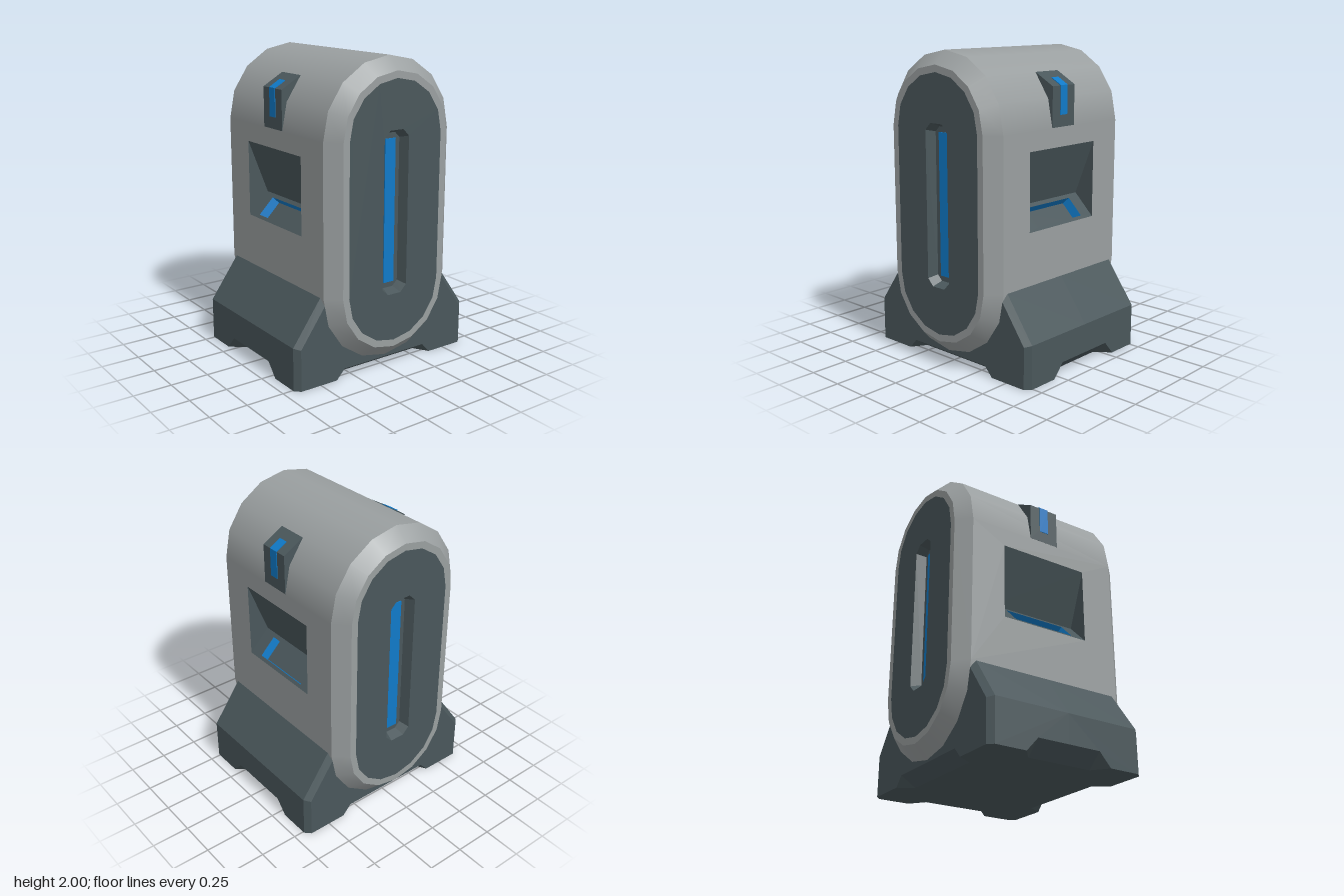
import * as THREE from 'three';

const grey = new THREE.MeshStandardMaterial({ color: 0x9a9fa0 });
grey.name = 'shellGrey';
const dark = new THREE.MeshStandardMaterial({ color: 0x4a575b, side: THREE.DoubleSide });
dark.name = 'darkSlate';
const blue = new THREE.MeshStandardMaterial({ color: 0x107ac8, side: THREE.DoubleSide });
blue.name = 'glowBlue';

const V = (x, y, z) => new THREE.Vector3(x, y, z);

function mesh(name, geometry, material, parent) {
  const m = new THREE.Mesh(geometry, material);
  m.name = name;
  parent.add(m);
  return m;
}

// Flat polygons, each given as [corners, point it faces]
function facesGeometry(faces) {
  const pos = [];
  for (const [pts, eye] of faces) {
    const n = V(0, 0, 0);
    pts.forEach((p, i) => n.add(p.clone().cross(pts[(i + 1) % pts.length])));
    n.normalize();
    const loop = n.dot(eye.clone().sub(pts[0])) < 0 ? [...pts].reverse() : pts;
    if (loop !== pts) n.negate();
    const u = loop[1].clone().sub(loop[0]).normalize();
    const v = n.clone().cross(u);
    const flat = loop.map(p => new THREE.Vector2(p.dot(u), p.dot(v)));
    for (const t of THREE.ShapeUtils.triangulateShape(flat, []))
      for (const i of t) pos.push(...loop[i].toArray());
  }
  const g = new THREE.BufferGeometry();
  g.setAttribute('position', new THREE.Float32BufferAttribute(pos, 3));
  g.computeVertexNormals();
  return g;
}

// Quads joining two closed loops
const between = (a, b, eye) => a.map((p, i) => {
  const j = (i + 1) % a.length;
  return [[p, a[j], b[j], b[i]], eye];
});

// Stadium outline: two 8-sided half circles joined by straight sides
const LOW = 0.56, HIGH = 1.52, R = 0.48, Z = 0.545, ZF = 0.63;
const angles = [];
for (let i = 0; i <= 8; i++) angles.push([i * Math.PI / 8, HIGH]);
for (let i = 8; i <= 16; i++) angles.push([i * Math.PI / 8, LOW]);
const outline = r => angles.map(([a, c]) =>
  new THREE.Vector2(r * Math.cos(a), c + r * Math.sin(a)));

// Smooth band between a front outline and a back outline
function band(list, rF, zF, rB, zB, nz, closed) {
  const pos = [], nor = [], idx = [];
  const seq = closed ? [...list, list[0]] : list;
  seq.forEach(([a, c], i) => {
    const n = V(Math.cos(a), Math.sin(a), nz).normalize();
    for (const [r, z] of [[rF, zF], [rB, zB]]) {
      pos.push(r * Math.cos(a), c + r * Math.sin(a), z);
      nor.push(n.x, n.y, n.z);
    }
    const k = 2 * i;
    if (i < seq.length - 1) idx.push(k, k + 1, k + 2, k + 1, k + 3, k + 2);
  });
  const g = new THREE.BufferGeometry();
  g.setAttribute('position', new THREE.Float32BufferAttribute(pos, 3));
  g.setAttribute('normal', new THREE.Float32BufferAttribute(nor, 3));
  g.setIndex(idx);
  return g;
}

function plate(points, hole) {
  const s = new THREE.Shape(points);
  if (hole) s.holes.push(new THREE.Path(hole));
  return new THREE.ShapeGeometry(s);
}

const rect = (w, y0, y1) => [[-w, y0], [w, y0], [w, y1], [-w, y1]].map(p => new THREE.Vector2(...p));

// Rectangle with cut corners
const octagon = (w, y0, y1, c) => [[w - c, y0], [w, y0 + c], [w, y1 - c], [w - c, y1],
  [c - w, y1], [-w, y1 - c], [-w, y0 + c], [c - w, y0]].map(p => new THREE.Vector2(...p));

// Bevelled end with dark panel and lit slot
function endCap() {
  const g = new THREE.Group();
  mesh('endBevel', band(angles, 0.395, ZF, R, Z, 1, true), grey, g);
  mesh('endRim', plate(outline(0.395), outline(0.35)), grey, g).position.z = ZF;
  const slot = octagon(0.095, 0.52, 1.56, 0.045);
  const floor = octagon(0.073, 0.545, 1.535, 0.035);
  mesh('endPanel', plate(outline(0.35), slot), dark, g).position.z = ZF;
  const depth = ZF - 0.065;
  const a = slot.map(p => V(p.x, p.y, ZF)), b = floor.map(p => V(p.x, p.y, depth));
  mesh('slotRecess', facesGeometry([...between(a, b, V(0, 1.04, ZF)), [b, V(0, 1.04, 5)]]), dark, g);
  mesh('slotLight', new THREE.BoxGeometry(0.08, 0.92, 0.008), blue, g).position.set(0, 1.04, depth + 0.002);
  return g;
}

// Flat side wall with wedge pocket, tray and corner lamp, on +x
function side() {
  const g = new THREE.Group();
  const wall = mesh('sideWall', plate(rect(Z, LOW, HIGH), rect(0.31, 0.9, 1.4)), grey, g);
  wall.rotation.y = Math.PI / 2;
  wall.position.x = R;

  // Wedge pocket with a sloping floor
  const w = 0.31, eye = V(R, 1.05, 0);
  const top = z => V(R, 1.4, z), deep = z => V(0.34, 1.04, z), low = z => V(R, 0.9, z);
  const onFloor = (y, z) => V(R - (y - 0.9), y, z);
  const floor = [low(w), deep(w), deep(-w), low(-w)];
  const hole = [onFloor(0.917, 0.215), onFloor(1.02, 0.215), onFloor(1.02, -0.215), onFloor(0.917, -0.215)];
  const tray = hole.map(p => V(p.x - 0.042, p.y - 0.042, p.z * 0.95));
  mesh('sidePocket', facesGeometry([
    [[top(w), top(-w), deep(-w), deep(w)], eye],
    ...[w, -w].map(z => [[top(z), deep(z), low(z)], eye]),
    ...between(floor, hole, eye),
    [tray, eye],
  ]), dark, g);
  const mid = hole[0].clone().add(hole[2]).multiplyScalar(0.5);
  mesh('trayLight', facesGeometry(between(hole, tray, mid)), blue, g);

  // Lamp block on the shoulder, with a strip folded over its edge
  const prism = (name, pts, depth, mat) => {
    const geo = new THREE.ExtrudeGeometry(new THREE.Shape(pts.map(p => new THREE.Vector2(...p))),
      { depth, bevelEnabled: false });
    mesh(name, geo.translate(0, 0, -depth / 2), mat, g);
  };
  prism('lampBlock', [[0.3, 1.6], [R, 1.525], [R, 1.78], [0.34, 1.86]], 0.21, dark);
  prism('lampStrip', [[0.475, 1.6], [0.484, 1.6], [0.484, 1.783], [0.408, 1.827], [0.406, 1.818], [0.475, 1.778]], 0.064, blue);
  return g;
}

// One quarter of the foot, mirrored by the signs sx and sz
function footQuarter(sx, sz) {
  const P = (x, y, z) => V(x * sx, y, z * sz);
  const outer = [[0.68, 0], [0.68, 0.28], [0.48, 0.56]].map(p => P(...p, 0.51));
  const inner = [[0.645, 0], [0.645, 0.27], [0.462, 0.525]].map(p => P(...p, Z));
  const corner = P(5, 3, 5), front = P(0, 0, Z), flank = P(0.68, 0, 0), below = P(0, -5, 0);
  const faces = [
    // front face and cut corner
    [[P(0.38, 0, Z), ...inner, P(0, 0.525, Z), P(0, 0.065, Z), P(0.32, 0.065, Z)], P(0, 0, 5)],
    [[outer[0], outer[1], inner[1], inner[0]], corner],
    [[outer[1], outer[2], inner[2], inner[1]], corner],
    // flank and slope
    [[P(0.68, 0, 0.3), outer[0], outer[1], P(0.68, 0.28, 0), P(0.68, 0.09, 0), P(0.68, 0.09, 0.22)], P(5, 0, 0)],
    [[outer[1], outer[2], P(0.48, 0.56, 0), P(0.68, 0.28, 0)], corner],
    // sloping notches in the lower edges
    [[P(0, 0.065, Z), P(0.32, 0.065, Z), P(0.32, 0, 0.445), P(0, 0, 0.445)], front],
    [[P(0.38, 0, Z), P(0.32, 0.065, Z), P(0.32, 0, 0.445)], front],
    [[P(0.68, 0.09, 0), P(0.68, 0.09, 0.22), P(0.58, 0, 0.22), P(0.58, 0, 0)], flank],
    [[P(0.68, 0, 0.3), P(0.68, 0.09, 0.22), P(0.58, 0, 0.22)], flank],
    // underside
    [[P(0, 0, 0), P(0.58, 0, 0), P(0.58, 0, 0.22), P(0.68, 0, 0.3), outer[0], inner[0],
      P(0.38, 0, Z), P(0.32, 0, 0.445), P(0, 0, 0.445)], below],
  ];
  return facesGeometry(faces);
}

export function createModel() {
  const model = new THREE.Group();
  model.name = 'capsuleMachine';

  // Rounded top and bottom of the shell
  mesh('shellTop', band(angles.slice(0, 9), R, Z, R, -Z, 0, false), grey, model);
  mesh('shellBottom', band(angles.slice(9), R, Z, R, -Z, 0, false), grey, model);

  // Matching ends and sides
  [['front', 'left', 0], ['back', 'right', Math.PI]].forEach(([end, flank, turn]) => {
    const cap = endCap(), wall = side();
    cap.name = end + 'End';
    wall.name = flank + 'Side';
    cap.rotation.y = wall.rotation.y = turn;
    model.add(cap, wall);
  });

  // Foot
  const foot = new THREE.Group();
  foot.name = 'foot';
  for (const sx of [1, -1]) for (const sz of [1, -1])
    mesh('footQuarter', footQuarter(sx, sz), dark, foot);
  model.add(foot);
  return model;
}
